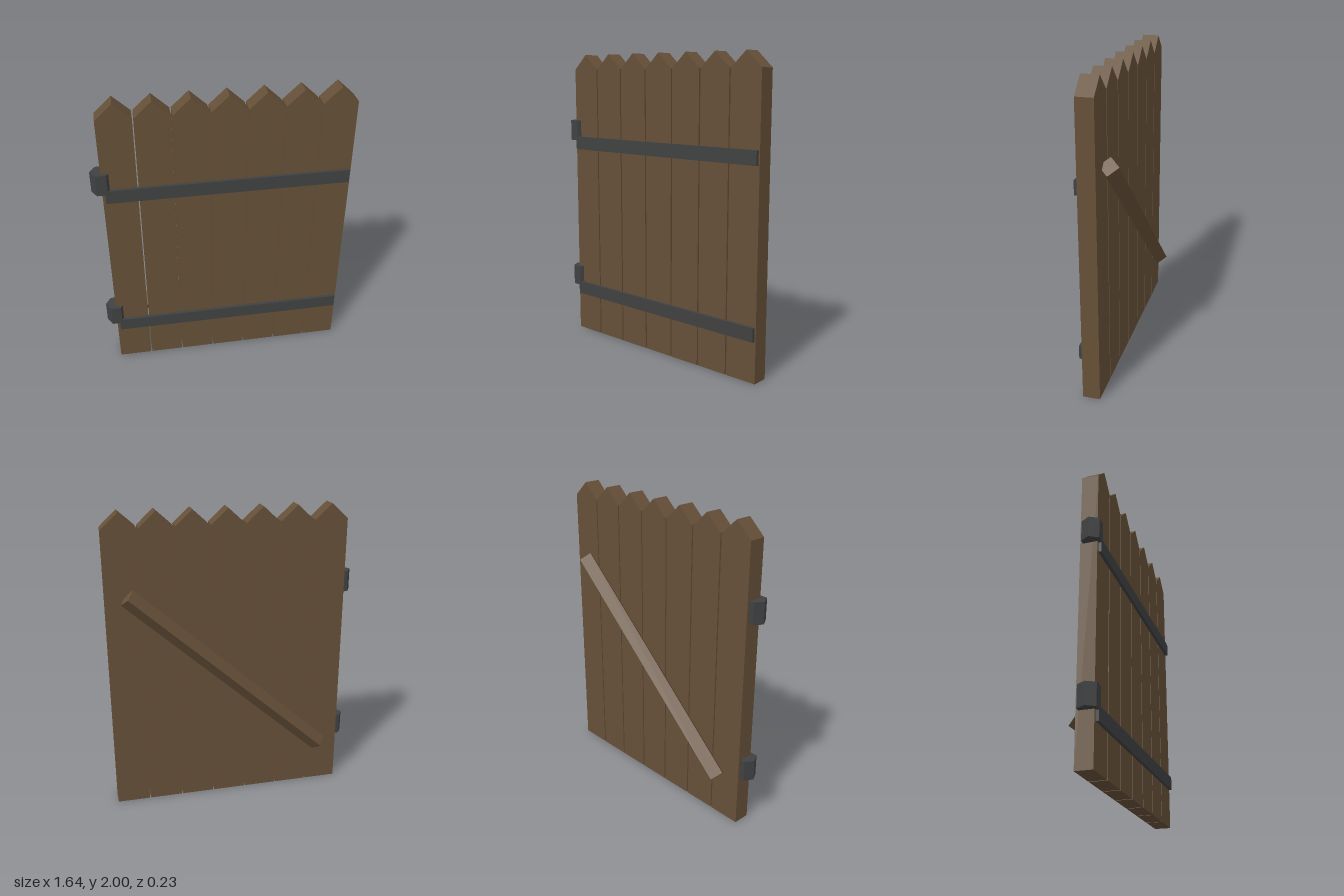
import * as THREE from 'three';

export function createModel() {
  const model = new THREE.Group();
  model.name = 'plankGate';

  const wood = new THREE.MeshStandardMaterial({ color: 0x665038 });
  wood.name = 'brown wood';
  wood.flatShading = true;
  const iron = new THREE.MeshStandardMaterial({ color: 0x404142 });
  iron.name = 'dark iron';
  iron.flatShading = true;

  const add = (name, geometry, material, x, y, z) => {
    const mesh = new THREE.Mesh(geometry, material);
    mesh.name = name;
    mesh.position.set(x, y, z);
    model.add(mesh);
    return mesh;
  };

  // Seven upright planks with pointed tops
  const half = 0.1085;
  const outline = new THREE.Shape([
    new THREE.Vector2(-half, 0),
    new THREE.Vector2(half, 0),
    new THREE.Vector2(half, 1.9),
    new THREE.Vector2(0, 2),
    new THREE.Vector2(-half, 1.9),
  ]);
  const plank = new THREE.ExtrudeGeometry(outline, { depth: 0.11, bevelEnabled: false });
  for (let i = 0; i < 7; i++) {
    add(`plank${i + 1}`, plank, wood, -0.648 + i * 0.2267, 0, -0.018);
  }

  // Diagonal square beam on the back, set on its edge
  const low = new THREE.Vector2(-0.613, 0.307);
  const high = new THREE.Vector2(0.687, 1.48);
  const beam = new THREE.CylinderGeometry(0.061, 0.061, low.distanceTo(high), 4);
  const brace = add('diagonalBrace', beam, wood, (low.x + high.x) / 2, (low.y + high.y) / 2, -0.054);
  brace.rotation.z = Math.atan2(high.y - low.y, high.x - low.x) - Math.PI / 2;

  // Iron straps and six-sided hinge barrels
  const strap = new THREE.BoxGeometry(1.55, 0.09, 0.022);
  const barrel = new THREE.CylinderGeometry(0.0667, 0.0667, 0.14, 6).rotateY(Math.PI / 6);
  [['lower', 0.315], ['upper', 1.385]].forEach(([side, y]) => {
    add(`${side}Strap`, strap, iron, 0.037, y, 0.101);
    add(`${side}Hinge`, barrel, iron, -0.755, y + 0.09, 0.057);
  });

  return model;
}
